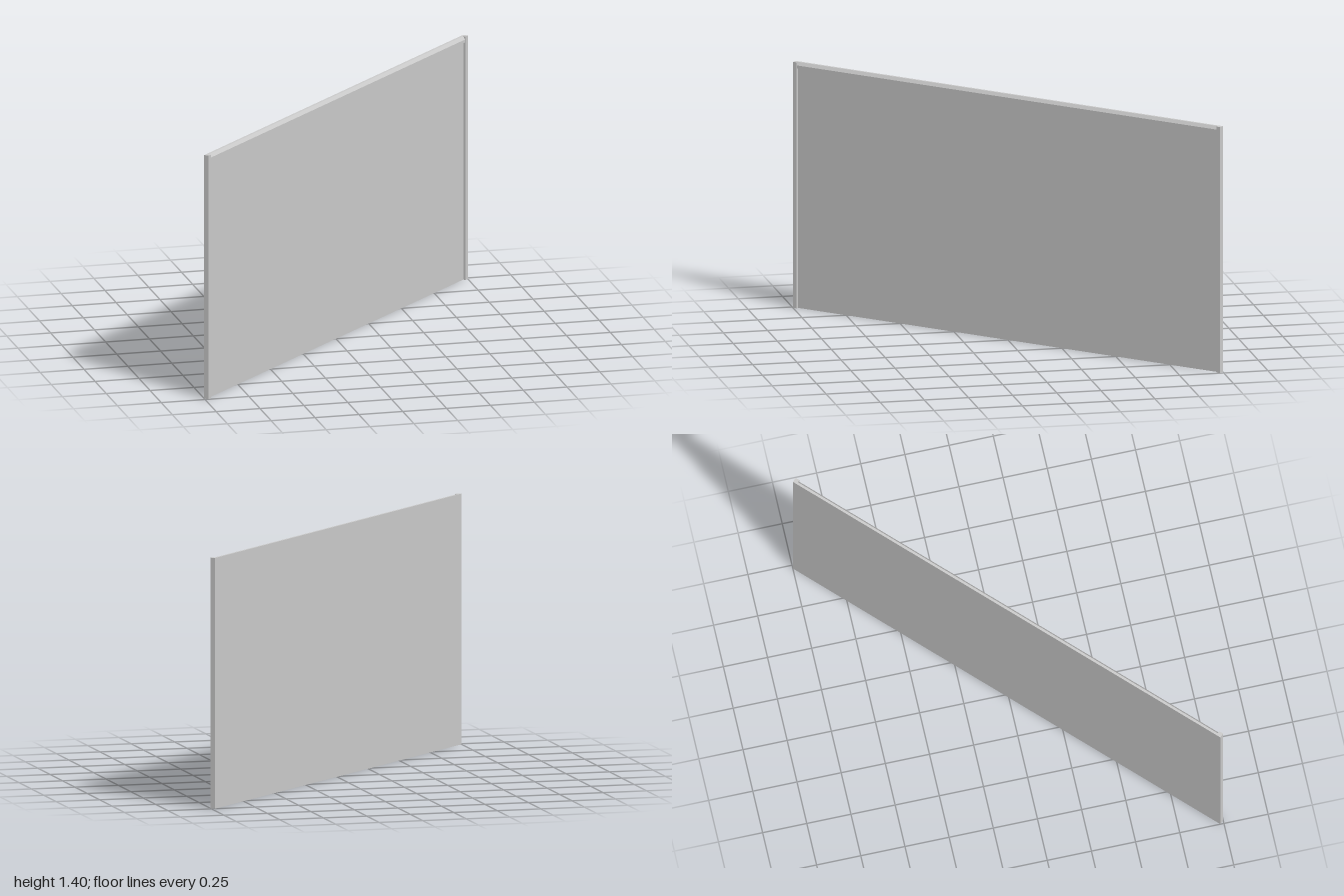
import * as THREE from 'three';

const material = new THREE.MeshStandardMaterial({ color: 0xcccccc, flatShading: true });

const HALF = 1.4;       // half the panel's length
const HEIGHT = 1.4;
const BACK = -0.014;    // shared flat back plane
const DEPTH = 0.028;    // full depth of the frame
const SHEET = 0.0135;   // thickness of the sheet
const POST = 0.024;     // width of an end post

export function createModel() {
  const model = new THREE.Group();
  model.name = 'framedWallPanel';

  function add(name, geometry, x, y, z) {
    const mesh = new THREE.Mesh(geometry, material);
    mesh.name = name;
    mesh.position.set(x, y, z);
    model.add(mesh);
  }

  // Flat sheet between the posts
  const inner = 2 * (HALF - POST);
  add('sheet', new THREE.BoxGeometry(inner, HEIGHT, SHEET), 0, HEIGHT / 2, BACK + SHEET / 2);

  // End posts, flush with the back and proud of the front
  for (const side of [-1, 1]) {
    add(side < 0 ? 'rightPost' : 'leftPost', new THREE.BoxGeometry(POST, HEIGHT, DEPTH),
      side * (HALF - POST / 2), HEIGHT / 2, 0);
  }

  // Top rail with a sloped upper edge; profile is (depth, height) swept along the length
  const front = BACK + SHEET;
  const profile = new THREE.Shape([
    [front, HEIGHT - 0.035], [0.011, HEIGHT - 0.035], [0.011, HEIGHT - 0.018], [front, HEIGHT],
  ].map(([z, y]) => new THREE.Vector2(-z, y)));
  const rail = new THREE.ExtrudeGeometry(profile, { depth: inner, bevelEnabled: false });
  rail.rotateY(Math.PI / 2);
  add('topRail', rail, -inner / 2, 0, 0);

  // The panel stands on the diagonal
  model.rotation.y = Math.PI / 4;
  const root = new THREE.Group();
  root.name = 'panel';
  root.add(model);
  return root;
}
